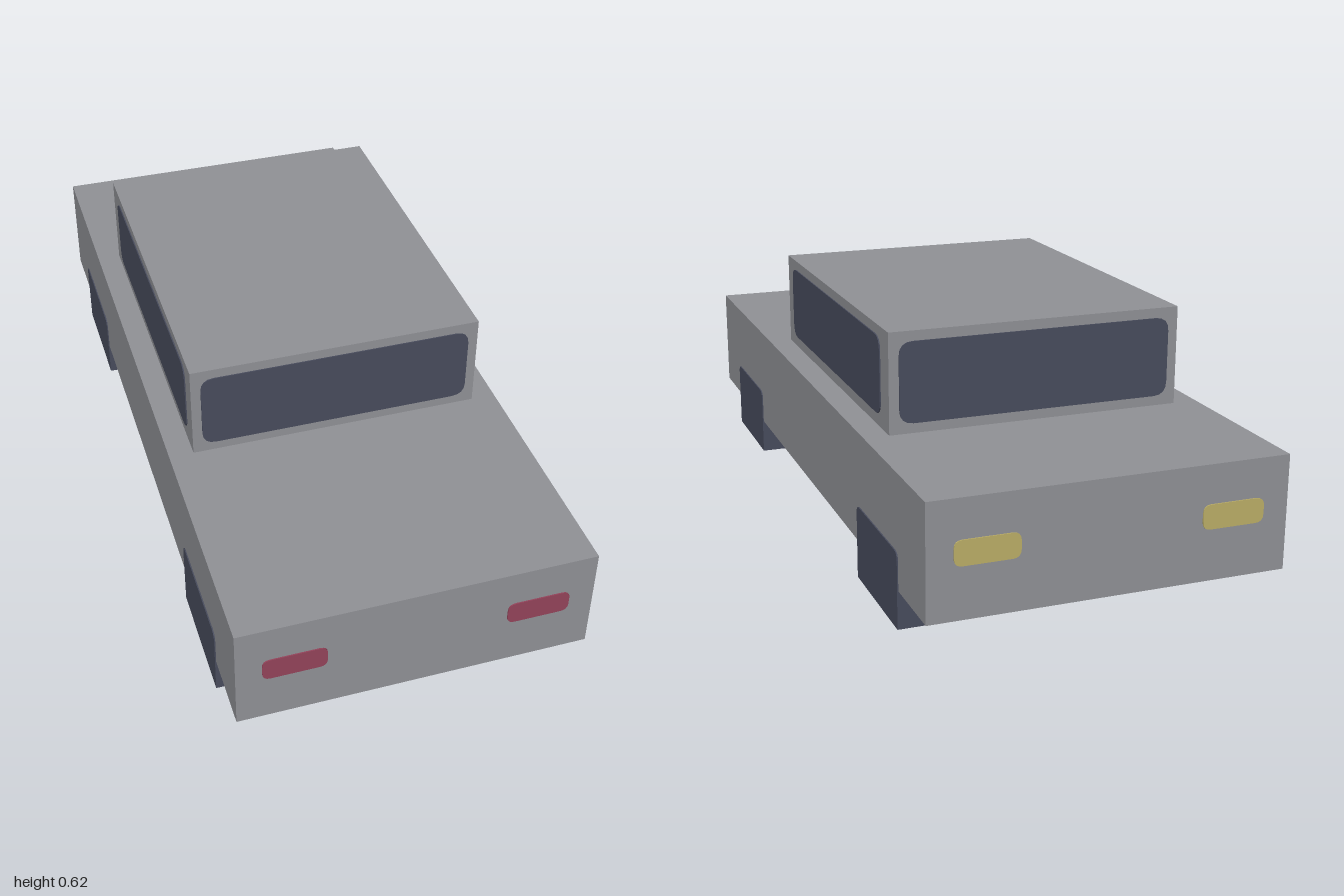
import * as THREE from 'three';

const mat = (name, color) => {
  const m = new THREE.MeshStandardMaterial({ color });
  m.name = name;
  return m;
};

// Rectangle centred on the origin, with separate top and bottom corner radii
function roundedRect(w, h, top, bottom) {
  const x = w / 2, y = h / 2, s = new THREE.Shape();
  s.moveTo(-x + bottom, -y);
  s.lineTo(x - bottom, -y);
  if (bottom) s.quadraticCurveTo(x, -y, x, -y + bottom);
  s.lineTo(x, y - top);
  s.quadraticCurveTo(x, y, x - top, y);
  s.lineTo(-x + top, y);
  s.quadraticCurveTo(-x, y, -x, y - top);
  s.lineTo(-x, -y + bottom);
  if (bottom) s.quadraticCurveTo(-x, -y, -x + bottom, -y);
  return s;
}

export function createModel() {
  const car = new THREE.Group();
  car.name = 'car';
  const paint = mat('grey paint', 0x909196);
  const dark = mat('dark glass and rubber', 0x484c5d);
  const red = mat('red lamp', 0x94435a);
  const yellow = mat('yellow lamp', 0xbbae67);

  const add = (name, geometry, material, x, y, z, turn = 0) => {
    const mesh = new THREE.Mesh(geometry, material);
    mesh.name = name;
    mesh.position.set(x, y, z);
    mesh.rotation.y = turn;
    car.add(mesh);
  };
  const slab = (shape, depth) =>
    new THREE.ExtrudeGeometry(shape, { depth, bevelEnabled: false, curveSegments: 4 });

  // Body and cabin
  add('body', new THREE.BoxGeometry(0.875, 0.281, 2), paint, 0, 0.2345, 0);
  add('cabin', new THREE.BoxGeometry(0.75, 0.25, 0.9375), paint, 0, 0.5, -0.09375);

  // Thin window and lamp plates
  const endGlass = slab(roundedRect(0.7, 0.2, 0.035, 0.035), 0.003);
  const sideGlass = slab(roundedRect(0.82, 0.195, 0.035, 0.035), 0.003);
  const lamp = slab(roundedRect(0.155, 0.06, 0.02, 0.02), 0.003);
  add('windscreen', endGlass, dark, 0, 0.5, 0.375);
  add('rearWindow', endGlass, dark, 0, 0.5, -0.5625, Math.PI);

  // Wheels are blocks whose rounded tops show on the body sides
  const wheel = slab(roundedRect(0.3125, 0.1875, 0.02, 0), 0.128);
  for (const [side, s] of [['left', 1], ['right', -1]]) {
    const turn = s * Math.PI / 2;
    add(side + 'SideWindow', sideGlass, dark, s * 0.375, 0.5025, -0.09, turn);
    add(side + 'FrontLamp', lamp, red, s * 0.2975, 0.25, 1);
    add(side + 'RearLamp', lamp, yellow, s * 0.2975, 0.25, -1, Math.PI);
    add(side + 'FrontWheel', wheel, dark, s * 0.3125, 0.09375, 0.65625, turn);
    add(side + 'RearWheel', wheel, dark, s * 0.3125, 0.09375, -0.65625, turn);
  }
  return car;
}
